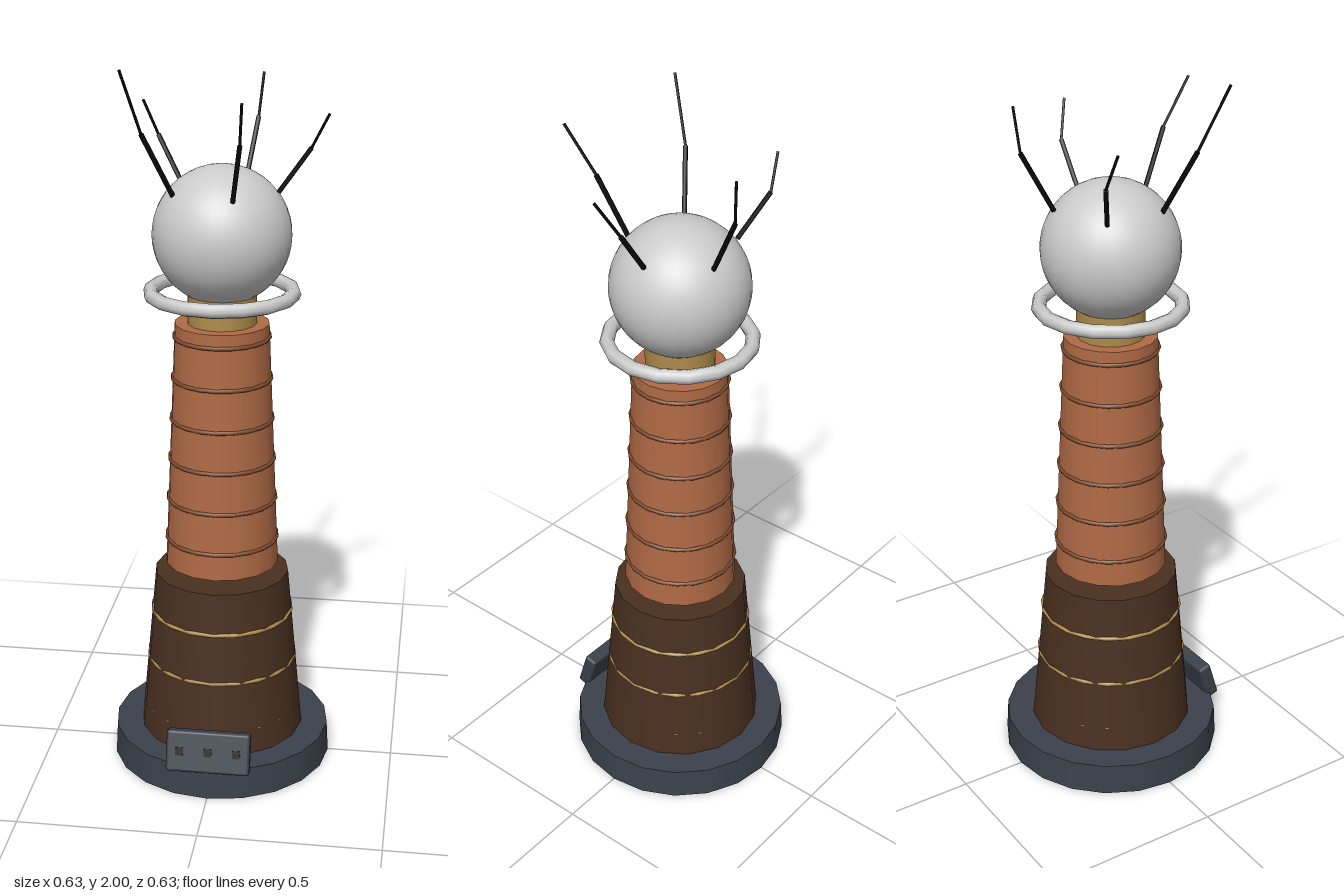
import * as THREE from 'three';
import { RoundedBoxGeometry } from 'three/addons/geometries/RoundedBoxGeometry.js';

export function createModel() {
  const model = new THREE.Group();
  model.name = 'electricTower';
  const mat = (color) => new THREE.MeshStandardMaterial({ color });
  const slate = mat(0x3b414b), wood = mat(0x4a3020), copper = mat(0xb06a45);
  const wire = mat(0x7d4a30), brass = mat(0xae8b4a), grey = mat(0xcccccc), black = mat(0x0a0a0a);

  function add(name, geometry, material, x = 0, y = 0, z = 0, parent = model) {
    const mesh = new THREE.Mesh(geometry, material);
    mesh.name = name;
    mesh.position.set(x, y, z);
    parent.add(mesh);
    return mesh;
  }
  // Upright cone section between two heights
  const section = (name, rTop, rBottom, y0, y1, sides, material) =>
    add(name, new THREE.CylinderGeometry(rTop, rBottom, y1 - y0, sides), material, 0, (y0 + y1) / 2);
  // Horizontal ring
  const ring = (name, radius, tube, y, sides, material) => {
    const mesh = add(name, new THREE.TorusGeometry(radius, tube, 8, sides), material, 0, y);
    mesh.rotation.x = Math.PI / 2;
  };

  // Plinth and tapered body
  section('base', 0.31, 0.315, 0, 0.09, 20, slate);
  section('woodenFoot', 0.19, 0.235, 0.09, 0.57, 16, wood);
  section('copperColumn', 0.13, 0.16, 0.6, 1.3, 16, copper);
  section('neck', 0.095, 0.095, 1.3, 1.4, 16, brass);

  // Brass bands around the foot
  [[0.16, 0.219], [0.305, 0.2105], [0.45, 0.1985]].forEach(([y, r]) =>
    ring('brassBand', r, 0.006, y, 20, brass));

  // Wire windings around the column
  for (let i = 0; i < 6; i++) {
    const y = 0.675 + i * 0.1175;
    ring('winding', 0.16 - 0.03 * (y - 0.6) / 0.7 - 0.001, 0.006, y, 20, wire);
  }

  // Metal ball and its collar
  ring('collarRing', 0.195, 0.02, 1.385, 16, grey);
  add('ball', new THREE.SphereGeometry(0.188, 32, 24), grey, 0, 1.543);

  // Bent electrodes: root, elbow, tip
  const rod = (name, a, b, radius, parent) => {
    const d = b.clone().sub(a);
    const mid = a.clone().add(b).multiplyScalar(0.5);
    const mesh = add(name, new THREE.CylinderGeometry(radius, radius, d.length(), 6), black, mid.x, mid.y, mid.z, parent);
    mesh.quaternion.setFromUnitVectors(new THREE.Vector3(0, 1, 0), d.normalize());
  };
  const electrodes = [
    [[0.15, 1.66, -0.005], [0.235, 1.78, -0.005], [0.283, 1.875, 0.035]],
    [[0.046, 1.66, 0.135], [0.074, 1.82, 0.215], [0.09, 1.94, 0.305]],
    [[-0.118, 1.66, 0.082], [-0.19, 1.83, 0.137], [-0.23, 2.0, 0.205]],
    [[-0.122, 1.66, -0.09], [-0.193, 1.78, -0.14], [-0.232, 1.875, -0.13]],
    [[0.046, 1.66, -0.145], [0.07, 1.82, -0.227], [0.083, 1.94, -0.238]],
  ];
  electrodes.forEach((points) => {
    const group = new THREE.Group();
    group.name = 'electrode';
    const [root, elbow, tip] = points.map((p) => new THREE.Vector3(...p));
    rod('lowerRod', root, elbow, 0.007, group);
    rod('upperRod', elbow, tip, 0.004, group);
    model.add(group);
  });

  // Leaning control panel with three dark sockets
  const panel = new THREE.Group();
  panel.name = 'controlPanel';
  panel.position.set(0, 0.13, 0.28);
  panel.rotation.x = -0.3;
  model.add(panel);
  add('panelCase', new RoundedBoxGeometry(0.235, 0.116, 0.04, 2, 0.008), slate, 0, 0, 0, panel);
  for (const x of [-0.08, 0, 0.08])
    add('socket', new THREE.BoxGeometry(0.022, 0.022, 0.006), black, x, 0, 0.019, panel);

  return model;
}
